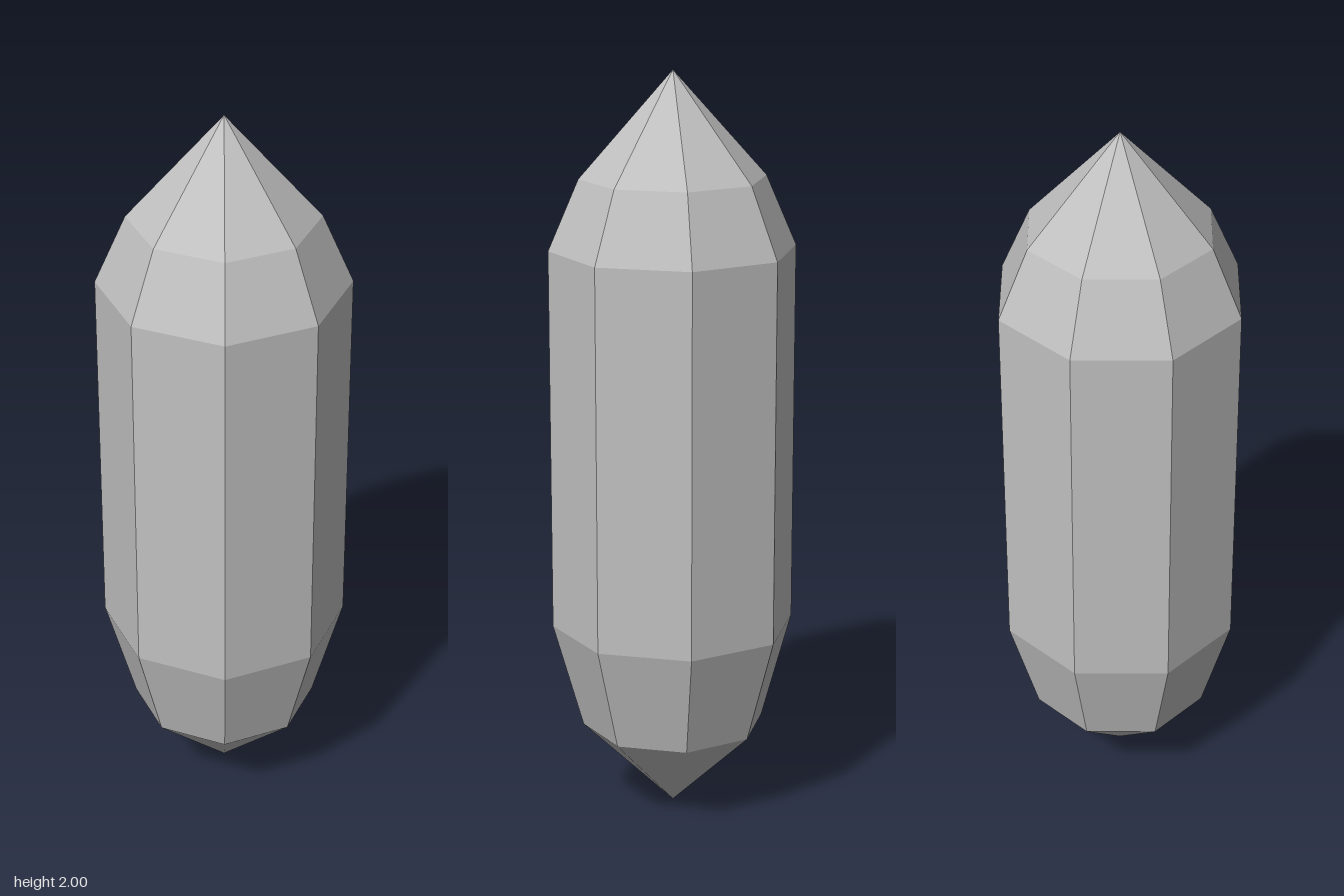
import * as THREE from 'three';

export function createModel() {
  const group = new THREE.Group();
  group.name = 'crystal';
  const stone = new THREE.MeshStandardMaterial({ color: 0xc0c0c0, flatShading: true });
  stone.name = 'grey stone';

  // Eight-sided crystal: pointed base, tapered shoulder, long shaft, bevel, pointed tip
  const profile = [
    [0, 0], [0.245, 0.235], [0.325, 0.52], [0.325, 1.54], [0.245, 1.725], [0, 2],
  ].map(([r, y]) => new THREE.Vector2(r, y));
  const geometry = new THREE.LatheGeometry(profile, 8);

  // Diagonal corners stand out very slightly further than those on the axes
  const p = geometry.attributes.position;
  for (let i = 0; i < p.count; i++) {
    const x = p.getX(i), z = p.getZ(i);
    if (Math.abs(x * z) > 1e-4) p.setXYZ(i, x * 1.008, p.getY(i), z * 1.008);
  }

  const faceted = geometry.toNonIndexed();
  faceted.computeVertexNormals();
  const body = new THREE.Mesh(faceted, stone);
  body.name = 'crystalBody';
  group.add(body);
  return group;
}
